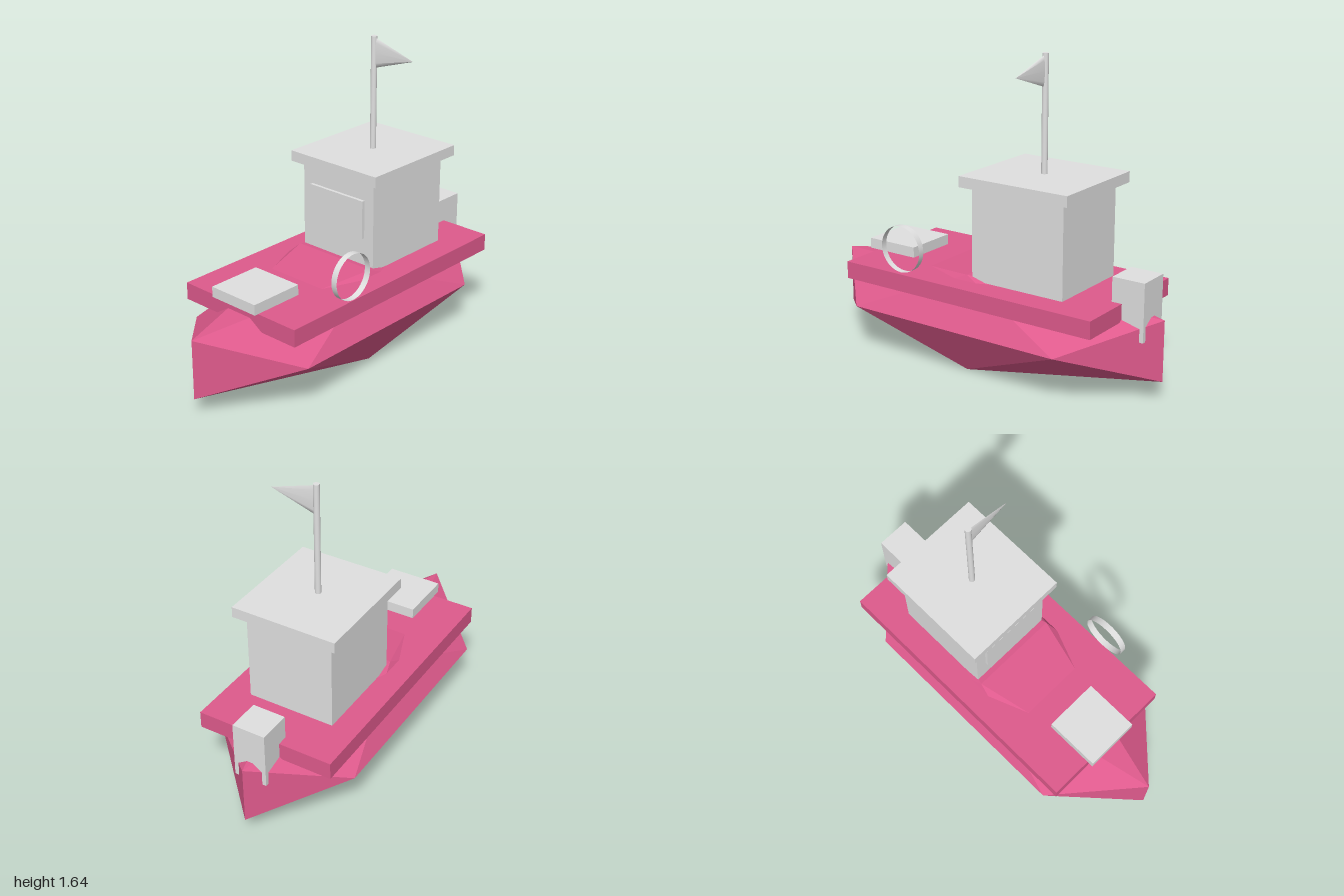
import * as THREE from 'three';

export function createModel() {
  const boat = new THREE.Group();
  boat.name = 'boat';

  const material = (name, color) => {
    const m = new THREE.MeshStandardMaterial({ color });
    m.name = name;
    return m;
  };
  const pink = material('hullPink', 0xde5a8c);
  const grey = material('lightGrey', 0xe0e0e0);
  pink.flatShading = true;
  grey.side = THREE.DoubleSide;

  const add = (name, geometry, mat, x, y, z) => {
    const mesh = new THREE.Mesh(geometry, mat);
    mesh.name = name;
    mesh.position.set(x, y, z);
    boat.add(mesh);
    return mesh;
  };
  // box given by its width and its low and high y and z
  const addBox = (name, mat, w, y0, y1, z0, z1) =>
    add(name, new THREE.BoxGeometry(w, y1 - y0, z1 - z0), mat, CX, (y0 + y1) / 2, (z0 + z1) / 2);
  const CX = -0.003;

  // faceted hull: a stretched icosahedron
  const hull = new THREE.IcosahedronGeometry(1, 0);
  hull.scale(0.467, 0.3027, 1.1756);
  add('hull', hull, pink, CX, 0.2575, 0);

  // deck and everything standing on it
  addBox('deck', pink, 0.755, 0.395, 0.487, -0.813, 0.69);
  addBox('cabin', grey, 0.48, 0.49, 0.98, -0.57, -0.03);
  addBox('cabinRoof', grey, 0.577, 0.98, 1.037, -0.62, 0.015);
  addBox('cabinWindow', grey, 0.36, 0.663, 0.87, -0.033, -0.013);
  addBox('bowHatch', grey, 0.297, 0.497, 0.553, 0.425, 0.725);
  addBox('outboardMotor', grey, 0.18, 0.312, 0.615, -0.935, -0.757);

  // mast and flattened pennant
  add('mast', new THREE.CylinderGeometry(0.016, 0.016, 0.605, 20), grey, CX, 1.3375, -0.3);
  const pennant = new THREE.ConeGeometry(0.08, 0.25, 8);
  pennant.rotateZ(-Math.PI / 2);
  pennant.scale(1, 1, 0.09);
  add('pennant', pennant, grey, 0.127, 1.552, -0.3);

  // thin life ring beside the deck
  const ring = new THREE.CylinderGeometry(0.122, 0.122, 0.034, 40, 1, true);
  ring.rotateZ(Math.PI / 2);
  add('lifeRing', ring, grey, 0.383, 0.633, 0.302);

  return boat;
}
